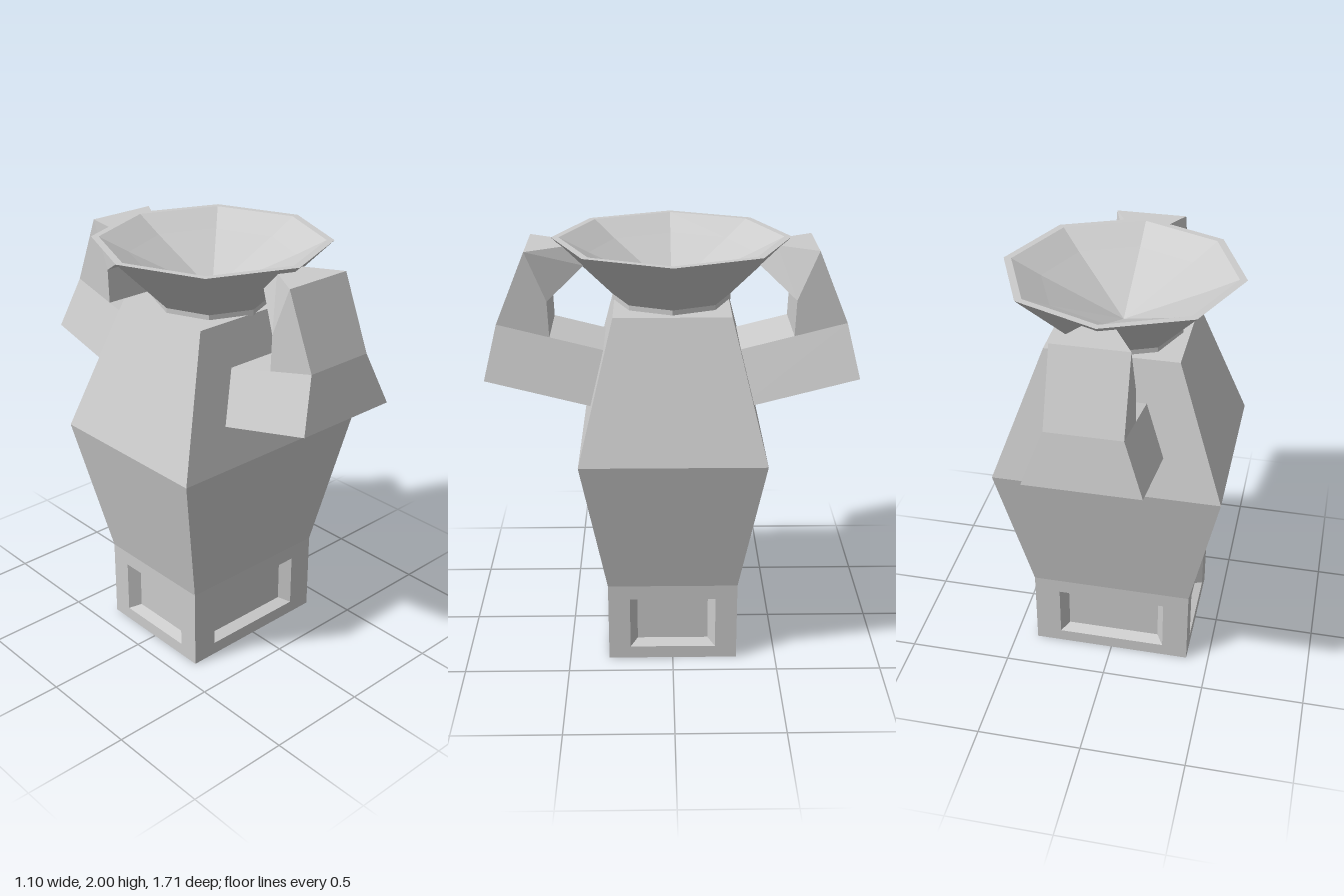
import * as THREE from 'three';

const material = new THREE.MeshStandardMaterial({ color: 0xcccccc, flatShading: true });

function addMesh(parent, name, geometry) {
  const mesh = new THREE.Mesh(geometry, material);
  mesh.name = name;
  parent.add(mesh);
  return mesh;
}

// Skins a series of four-cornered rings (counter-clockwise seen from the end).
function loft(rings, capStart, capEnd) {
  const pos = [];
  const quad = (a, b, c, d) => pos.push(...a, ...b, ...c, ...a, ...c, ...d);
  for (let r = 0; r < rings.length - 1; r++) {
    const a = rings[r], b = rings[r + 1];
    for (let i = 0; i < 4; i++) {
      const j = (i + 1) % 4;
      quad(a[i], a[j], b[j], b[i]);
    }
  }
  const s = rings[0], e = rings[rings.length - 1];
  if (capStart) quad(s[3], s[2], s[1], s[0]);
  if (capEnd) quad(e[0], e[1], e[2], e[3]);
  const geometry = new THREE.BufferGeometry();
  geometry.setAttribute('position', new THREE.Float32BufferAttribute(pos, 3));
  geometry.computeVertexNormals();
  return geometry;
}

// Level rectangle, and upright rectangle facing +z
const level = (w, d, y) => [[-w, y, d], [w, y, d], [w, y, -d], [-w, y, -d]];
const upright = (w, y0, y1, z) => [[-w, y0, z], [w, y0, z], [w, y1, z], [-w, y1, z]];

// Arm cross-section from its outer and inner [z, y, halfWidth]
const section = ([zo, yo, wo], [zi, yi, wi]) =>
  [[-wo, yo, zo], [wo, yo, zo], [wi, yi, zi], [-wi, yi, zi]];

function createArm() {
  const arm = new THREE.Group();
  addMesh(arm, 'lowerArm', loft([
    section([0.857, 1.4, 0.26], [0.3, 1.256, 0.26]),
    section([0.8, 1.64, 0.17], [0.25, 1.499, 0.17]),
  ], true, true));
  addMesh(arm, 'upperArm', loft([
    section([0.8, 1.64, 0.17], [0.56, 1.578, 0.17]),
    section([0.66, 1.975, 0.17], [0.566, 1.746, 0.17]),
    section([0.48, 1.975, 0.065], [0.402, 1.885, 0.065]),
  ], false, true));
  return arm;
}

export function createModel() {
  const model = new THREE.Group();
  model.name = 'armedVessel';
  const W = 0.39, D = 0.31, H = 0.4;

  // Base: four walls, each with a tapered recess
  const base = new THREE.Group();
  base.name = 'base';
  model.add(base);
  const walls = [['front', W, D, 0.265], ['right', D, W, 0.206], ['back', W, D, 0.265], ['left', D, W, 0.206]];
  walls.forEach(([side, half, depth, hole], i) => {
    const wall = addMesh(base, side + 'Wall', loft([
      upright(half, 0, H, depth),
      upright(hole, 0.063, 0.328, depth),
      upright(hole - 0.035, 0.08, 0.307, depth - 0.055),
    ], false, true));
    wall.rotation.y = -i * Math.PI / 2;
  });
  addMesh(base, 'underside', loft([level(W, D, 0)], true, false));

  // Body widens to the waist and narrows to the shoulders
  addMesh(model, 'body', loft([
    level(W, D, H), level(0.535, 0.425, 1.085), level(0.308, 0.266, 1.712),
  ], false, true));

  // Neck and hollow eight-sided bowl
  const neck = new THREE.CylinderGeometry(0.275, 0.275, 0.03, 8);
  addMesh(model, 'neck', neck).position.y = 1.722;
  const profile = [[0, 1.735], [0.275, 1.735], [0.55, 2], [0.515, 2], [0.38, 1.93], [0, 1.75]]
    .map(([x, y]) => new THREE.Vector2(x, y));
  addMesh(model, 'bowl', new THREE.LatheGeometry(profile, 8));

  // Arms at front and back, bent up to hold the bowl
  ['frontArm', 'backArm'].forEach((name, i) => {
    const arm = createArm();
    arm.name = name;
    arm.rotation.y = i * Math.PI;
    model.add(arm);
  });
  return model;
}
